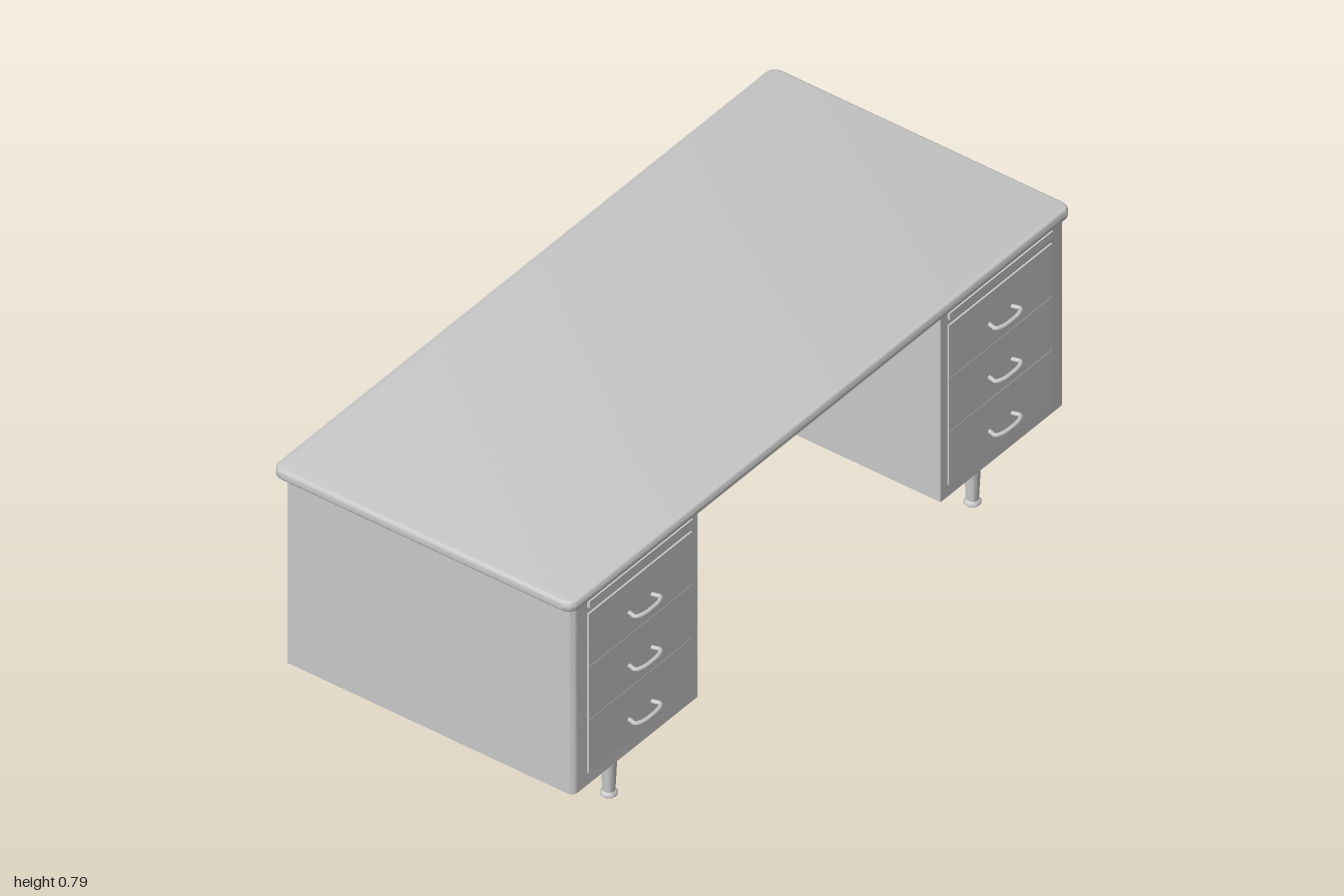
import * as THREE from 'three';
import { toCreasedNormals } from 'three/addons/utils/BufferGeometryUtils.js';

const grey = new THREE.MeshStandardMaterial({ color: 0xc8c8c8 });
grey.name = 'light grey';

function add(parent, name, geometry, x = 0, y = 0, z = 0) {
  const mesh = new THREE.Mesh(geometry, grey);
  mesh.name = name;
  mesh.position.set(x, y, z);
  parent.add(mesh);
  return mesh;
}

// Extrude a floor-plan shape (drawn in x, -z) upwards
function extrudeUp(shape, options) {
  const g = new THREE.ExtrudeGeometry(shape, { curveSegments: 6, ...options });
  g.rotateX(-Math.PI / 2);
  return toCreasedNormals(g, 0.7);
}

function roundedRect(x0, x1, y0, y1, r) {
  const s = new THREE.Shape();
  s.absarc(x1 - r, y1 - r, r, 0, Math.PI / 2);
  s.absarc(x0 + r, y1 - r, r, Math.PI / 2, Math.PI);
  s.absarc(x0 + r, y0 + r, r, Math.PI, Math.PI * 1.5);
  s.absarc(x1 - r, y0 + r, r, Math.PI * 1.5, Math.PI * 2);
  s.closePath();
  return s;
}

// Drawer block whose outer front corner is rounded
function pedestalShape(side) {
  const s = new THREE.Shape();
  const outer = side * 0.98, inner = side * 0.485, r = 0.02;
  s.moveTo(inner, 0.44);
  s.lineTo(outer, 0.44);
  s.lineTo(outer, -0.43 + r);
  s.quadraticCurveTo(outer, -0.43, outer - side * r, -0.43);
  s.lineTo(inner, -0.43);
  s.closePath();
  return s;
}

// Bow-shaped pull, starting at the drawer front
function handleGeometry() {
  const points = [[-0.045, 0], [-0.047, 0.012], [-0.05, 0.026], [-0.03, 0.036],
    [0, 0.038], [0.03, 0.036], [0.05, 0.026], [0.047, 0.012], [0.045, 0]]
    .map(([x, z]) => new THREE.Vector3(x, 0, z));
  return new THREE.TubeGeometry(new THREE.CatmullRomCurve3(points), 32, 0.006, 8);
}

// Tapered leg with a rounded foot
function legGeometry() {
  const profile = [[0, 0], [0.018, 0], [0.022, 0.004], [0.022, 0.009], [0.018, 0.014],
    [0.016, 0.016], [0.024, 0.185]].map(([r, y]) => new THREE.Vector2(r, y));
  return toCreasedNormals(new THREE.LatheGeometry(profile, 24), 0.7);
}

export function createModel() {
  const desk = new THREE.Group();
  desk.name = 'desk';

  // Worktop with rounded edge
  const bevel = 0.01;
  const top = extrudeUp(roundedRect(-1 + bevel, 1 - bevel, -0.44 + bevel, 0.475 - bevel, 0.02), {
    depth: 0.032 - 2 * bevel, bevelEnabled: true, bevelThickness: bevel, bevelSize: bevel, bevelSegments: 4,
  });
  add(desk, 'worktop', top, 0, 0.756 + bevel, 0);

  // Panel closing the back of the knee space
  add(desk, 'modestyPanel', new THREE.BoxGeometry(0.98, 0.566, 0.02), 0, 0.473, -0.43);

  const handle = handleGeometry();
  const leg = legGeometry();
  for (const side of [-1, 1]) {
    const pedestal = new THREE.Group();
    pedestal.name = side > 0 ? 'leftPedestal' : 'rightPedestal';
    desk.add(pedestal);
    add(pedestal, 'cabinet', extrudeUp(pedestalShape(side), { depth: 0.566, bevelEnabled: false }), 0, 0.19, 0);

    // Three drawers with pulls
    const x = side * 0.718;
    const edges = [0.228, 0.39, 0.553, 0.715];
    [0.295, 0.46, 0.622].forEach((pullY, i) => {
      const h = edges[i + 1] - edges[i] - 0.001;
      add(pedestal, 'drawerFront', new THREE.BoxGeometry(0.412, h, 0.01), x, (edges[i] + edges[i + 1]) / 2, 0.43);
      add(pedestal, 'drawerPull', handle, x, pullY, 0.431);
    });

    // Pull-out writing board under the worktop
    add(pedestal, 'writingBoard', new THREE.BoxGeometry(0.412, 0.02, 0.014), x, 0.744, 0.431);

    // Legs and mounting plates
    for (const z of [0.344, -0.35]) {
      add(pedestal, 'legPlate', new THREE.BoxGeometry(0.095, 0.006, 0.095), side * 0.725, 0.187, z);
      add(pedestal, 'leg', leg, side * 0.725, 0, z);
    }
  }
  return desk;
}
